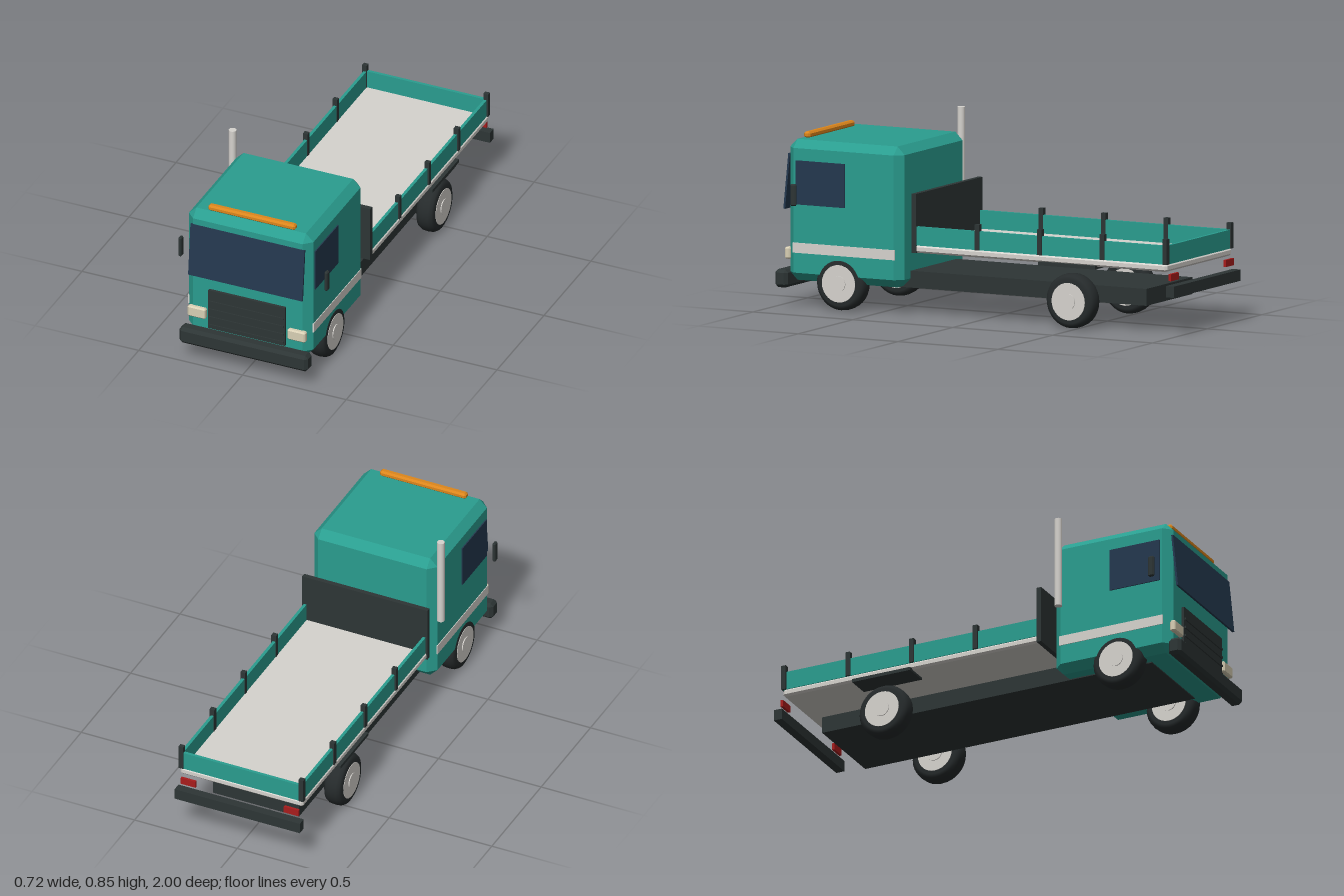
import * as THREE from 'three';
import { ConvexGeometry } from 'three/addons/geometries/ConvexGeometry.js';

const mat = (name, color, extra = {}) => {
  const m = new THREE.MeshStandardMaterial({ color, ...extra });
  m.name = name;
  return m;
};

// Box with chamfered edges and cut corners
function chamferBox(w, h, d, c) {
  const pts = [];
  for (const sx of [-1, 1]) for (const sy of [-1, 1]) for (const sz of [-1, 1]) {
    const x = w / 2, y = h / 2, z = d / 2;
    pts.push(new THREE.Vector3(sx * x, sy * (y - c), sz * (z - c)));
    pts.push(new THREE.Vector3(sx * (x - c), sy * y, sz * (z - c)));
    pts.push(new THREE.Vector3(sx * (x - c), sy * (y - c), sz * z));
  }
  return new ConvexGeometry(pts);
}

export function createModel() {
  const paint = mat('teal paint', 0x2a9d8f);
  const dark = mat('dark trim', 0x2d3535);
  const rubber = mat('tyre rubber', 0x262b2c);
  const glass = mat('window glass', 0x24384e);
  const grey = mat('light grey', 0xd6d3ce);
  const lamp = mat('headlamp', 0xd8cfb4);
  const amber = mat('amber', 0xdc861c);
  const red = mat('tail red', 0xa81c1c);

  const truck = new THREE.Group();
  truck.name = 'flatbedTruck';

  const add = (name, geo, material, x = 0, y = 0, z = 0) => {
    const mesh = new THREE.Mesh(geo, material);
    mesh.name = name;
    mesh.position.set(x, y, z);
    truck.add(mesh);
    return mesh;
  };
  // Block given by its min and max on each axis, optionally chamfered
  const block = (name, material, [x0, x1], [y0, y1], [z0, z1], c = 0) => {
    const w = x1 - x0, h = y1 - y0, d = z1 - z0;
    const geo = c ? chamferBox(w, h, d, c) : new THREE.BoxGeometry(w, h, d);
    return add(name, geo, material, (x0 + x1) / 2, (y0 + y1) / 2, (z0 + z1) / 2);
  };
  const pair = (name, material, [x0, x1], y, z, c) => {
    block(name + 'Left', material, [x0, x1], y, z, c);
    block(name + 'Right', material, [-x1, -x0], y, z, c);
  };

  // Chassis and bumpers
  block('chassis', dark, [-0.21, 0.21], [0.115, 0.19], [-0.81, 0.81]);
  block('frontBumper', dark, [-0.31, 0.31], [0.086, 0.166], [0.937, 1], 0.014);
  block('rearBumper', dark, [-0.305, 0.305], [0.175, 0.225], [-1, -0.96]);

  // Cab
  block('cab', paint, [-0.3, 0.3], [0.12, 0.745], [0.37, 0.943], 0.036);
  const screen = add('windscreen', new THREE.BoxGeometry(0.55, 0.249, 0.009), glass, 0, 0.556, 0.955);
  screen.rotation.x = -0.1;
  pair('sideWindow', glass, [0.298, 0.305], [0.46, 0.655], [0.65, 0.895]);
  pair('sideStripe', grey, [0.297, 0.303], [0.245, 0.29], [0.4, 0.91]);
  pair('mirror', dark, [0.344, 0.36], [0.46, 0.557], [0.865, 0.893], 0.005);

  // Grille with slats, headlamps
  block('grille', dark, [-0.185, 0.185], [0.172, 0.366], [0.935, 0.957]);
  for (const y of [0.19, 0.23, 0.27, 0.31])
    block('grilleSlat', dark, [-0.18, 0.18], [y - 0.005, y + 0.005], [0.95, 0.963]);
  pair('headlamp', lamp, [0.197, 0.284], [0.212, 0.264], [0.935, 0.962], 0.006);

  // Roof light bar and exhaust stack
  block('roofLightBar', amber, [-0.21, 0.21], [0.742, 0.77], [0.876, 0.908], 0.008);
  add('exhaustStack', new THREE.CylinderGeometry(0.017, 0.017, 0.42, 16), grey, -0.317, 0.64, 0.405);

  // Load bed with headboard, side boards and tailboard
  block('bedFloor', grey, [-0.3, 0.3], [0.285, 0.32], [-0.96, 0.31], 0.009);
  block('headboard', dark, [-0.305, 0.305], [0.285, 0.547], [0.292, 0.314]);
  pair('sideBoard', paint, [0.283, 0.297], [0.318, 0.402], [-0.955, 0.295]);
  block('tailboard', paint, [-0.295, 0.295], [0.318, 0.402], [-0.961, -0.947]);
  for (const z of [-0.953, -0.638, -0.325, -0.012])
    pair('post', dark, [0.281, 0.304], [0.318, 0.432], [z - 0.011, z + 0.011]);
  pair('tailLamp', red, [0.215, 0.287], [0.245, 0.276], [-0.976, -0.964]);
  pair('rearMudguard', dark, [0.2, 0.315], [0.275, 0.29], [-0.61, -0.325]);

  // Wheels: rounded tyre, pale rim and raised hub
  const tyreProfile = [[0.06, -0.043], [0.098, -0.043], [0.112, -0.036], [0.12, -0.022],
    [0.122, 0], [0.12, 0.022], [0.112, 0.036], [0.098, 0.043], [0.06, 0.043]]
    .map(([r, y]) => new THREE.Vector2(r, y));
  const tyreGeo = new THREE.LatheGeometry(tyreProfile, 32);
  const rimGeo = new THREE.CylinderGeometry(0.083, 0.083, 0.09, 28);
  const hubGeo = new THREE.CylinderGeometry(0.035, 0.035, 0.098, 20);
  for (const z of [0.68, -0.47]) for (const side of [-1, 1]) {
    const wheel = new THREE.Group();
    wheel.name = (z > 0 ? 'front' : 'rear') + 'Wheel' + (side > 0 ? 'Left' : 'Right');
    for (const [name, geo, m] of [['tyre', tyreGeo, rubber], ['rim', rimGeo, grey], ['hub', hubGeo, grey]]) {
      const mesh = new THREE.Mesh(geo, m);
      mesh.name = name;
      wheel.add(mesh);
    }
    wheel.rotation.z = Math.PI / 2;
    wheel.position.set(side * 0.259, 0.122, z);
    truck.add(wheel);
  }
  return truck;
}
